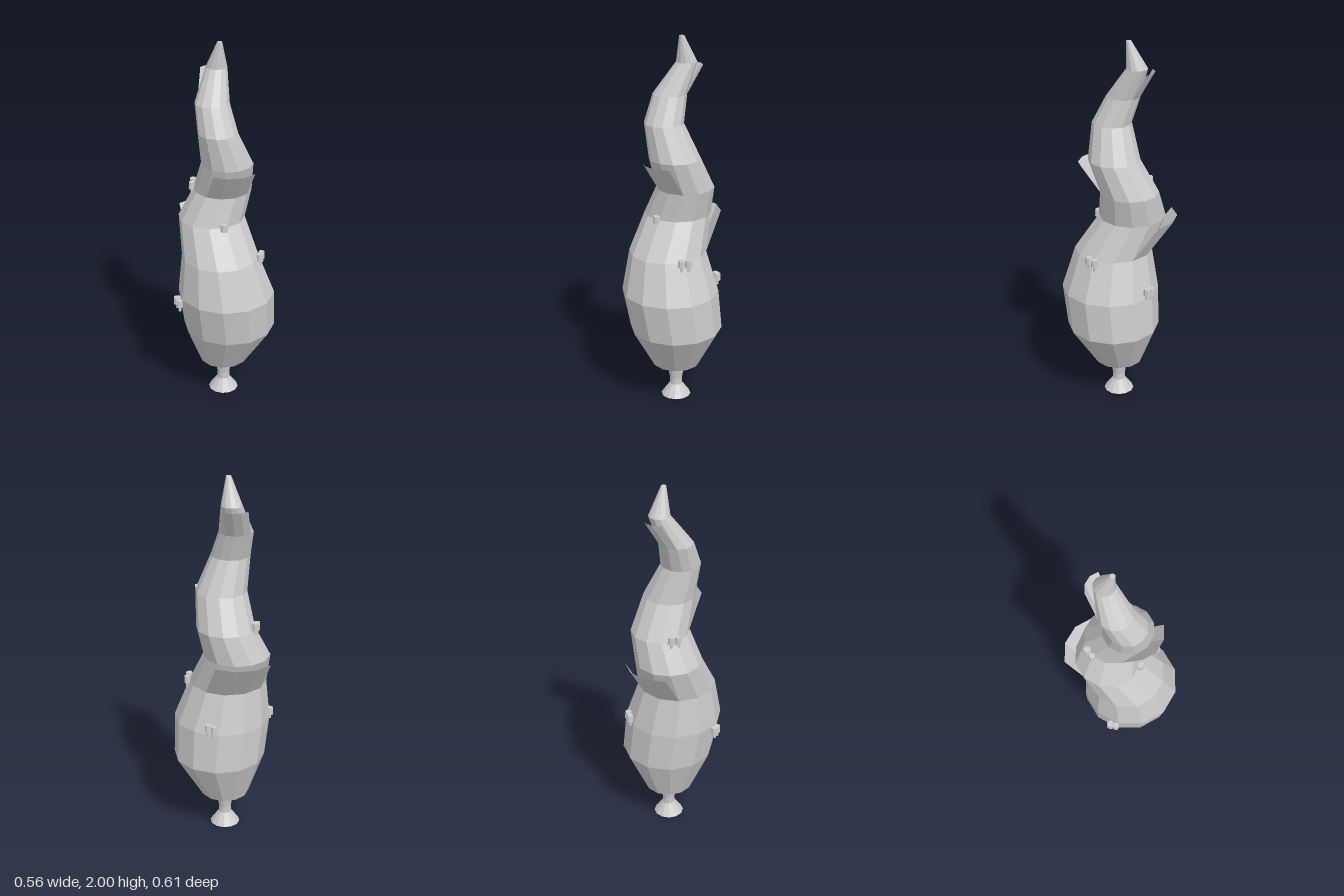
import * as THREE from 'three';

const SIDES = 12;
const material = new THREE.MeshStandardMaterial({ color: 0xcccccc, flatShading: true });
const thinMaterial = new THREE.MeshStandardMaterial({ color: 0xcccccc, flatShading: true, side: THREE.DoubleSide });

// Body rings from bottom to tip: [x, y, z, radius]
const RINGS = [
  [0.015, 0.2, 0, 0.13],
  [0.034, 0.43, 0.03, 0.247],
  [0.008, 0.645, 0.047, 0.258],
  [-0.02, 0.86, 0.03, 0.205],
  [-0.022, 1.05, -0.07, 0.176],
  [0.035, 1.205, -0.055, 0.153],
  [0.022, 1.38, 0.025, 0.135],
  [-0.037, 1.56, 0.037, 0.103],
  [-0.04, 1.7, -0.022, 0.089],
  [0.018, 1.86, -0.09, 0.055],
  [0.015, 2, -0.048, 0.013],
];

function ringPoint([x, y, z, r], step) {
  const a = (step / SIDES) * Math.PI * 2;
  return [x + r * Math.cos(a), y, z + r * Math.sin(a)];
}

function toGeometry(points, index) {
  const geometry = new THREE.BufferGeometry();
  geometry.setAttribute('position', new THREE.Float32BufferAttribute(points.flat(), 3));
  geometry.setIndex(index);
  geometry.computeVertexNormals();
  return geometry;
}

// Twisting tube through the rings, capped at both ends
function bodyGeometry() {
  const points = [], index = [];
  RINGS.forEach((ring) => {
    for (let k = 0; k < SIDES; k++) points.push(ringPoint(ring, k));
  });
  const bottom = points.push(RINGS[0].slice(0, 3)) - 1;
  const top = points.push(RINGS.at(-1).slice(0, 3)) - 1;
  const last = (RINGS.length - 1) * SIDES;
  for (let k = 0; k < SIDES; k++) {
    const n = (k + 1) % SIDES;
    for (let o = 0; o < last; o += SIDES) {
      const a = o + k, b = o + n, c = a + SIDES, d = b + SIDES;
      index.push(a, c, b, b, c, d);
    }
    index.push(bottom, k, n, top, last + n, last + k);
  }
  return toGeometry(points, index);
}

// Thin flap: an arc of a body ring swept outwards and upwards
function flapGeometry(ring, firstStep, [dx, dy, dz]) {
  const points = [], index = [];
  for (let k = 0; k < 4; k++) {
    const [x, y, z] = ringPoint(ring, firstStep + k);
    points.push([x, y, z], [x + dx, y + dy, z + dz]);
    if (k) {
      const a = 2 * k - 2;
      index.push(a, a + 1, a + 2, a + 2, a + 1, a + 3);
    }
  }
  return toGeometry(points, index);
}

// Small capped growth on a short stalk
function makeBud(x, y, z, r) {
  const bud = new THREE.Group();
  bud.name = 'bud';
  const cap = new THREE.Mesh(new THREE.CylinderGeometry(r * 0.9, r, 0.038, 8), material);
  cap.name = 'budCap';
  const stalk = new THREE.Mesh(new THREE.CylinderGeometry(0.008, 0.008, 0.03, 6), material);
  stalk.name = 'budStalk';
  stalk.position.y = -0.03;
  bud.add(cap, stalk);
  bud.position.set(x, y, z);
  return bud;
}

export function createModel() {
  const model = new THREE.Group();
  model.name = 'twistedStalk';
  const add = (name, geometry, mat = material) => {
    const mesh = new THREE.Mesh(geometry, mat);
    mesh.name = name;
    model.add(mesh);
    return mesh;
  };

  add('body', bodyGeometry());

  // Flared foot and neck
  const profile = [[0, 0], [0.081, 0], [0.034, 0.065], [0.034, 0.1], [0.05, 0.2], [0, 0.2]];
  const foot = add('foot', new THREE.LatheGeometry(profile.map((p) => new THREE.Vector2(...p)), SIDES));
  foot.position.x = 0.014;

  // Peeling flaps
  add('lowerBackFlap', flapGeometry(RINGS[3], 8, [0.007, 0.19, -0.133]), thinMaterial);
  add('frontFlap', flapGeometry(RINGS[5], 2, [-0.013, 0.16, 0.113]), thinMaterial);
  add('upperBackFlap', flapGeometry(RINGS[8], 8, [0.05, 0.143, -0.071]), thinMaterial);

  // Buds scattered over the body
  [
    [-0.262, 0.628, 0.004, 0.021], [-0.262, 0.622, 0.034, 0.018],
    [0.152, 0.862, 0.155, 0.021], [0.177, 0.858, 0.126, 0.018],
    [-0.085, 1.222, -0.16, 0.021], [-0.108, 1.215, -0.13, 0.018],
    [-0.035, 1.054, 0.108, 0.021],
    [0.18, 0.69, -0.15, 0.02], [0.158, 0.685, -0.172, 0.018],
  ].forEach((b) => model.add(makeBud(...b)));

  return model;
}
